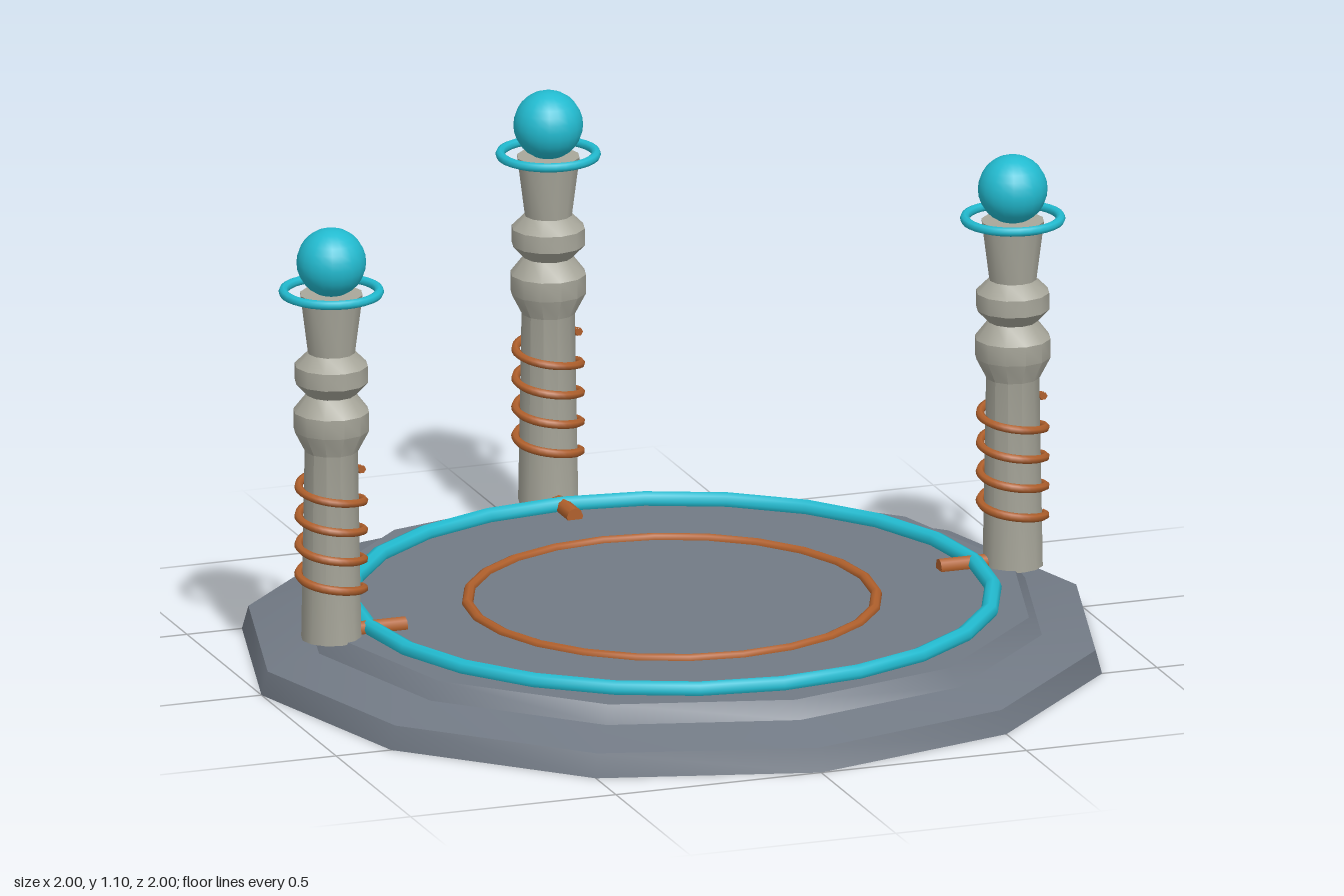
import * as THREE from 'three';
import { toCreasedNormals } from 'three/addons/utils/BufferGeometryUtils.js';

const mat = (name, color) => Object.assign(new THREE.MeshStandardMaterial({ color }), { name });

export function createModel() {
  const slate = mat('slate', 0x727a85);
  const stone = mat('stone', 0xa8a79b);
  const copper = mat('copper', 0xb0602c);
  const teal = mat('teal', 0x22bbd0);

  const model = new THREE.Group();
  model.name = 'pylonPlatform';

  const add = (parent, name, geometry, material, x = 0, y = 0, z = 0) => {
    const mesh = new THREE.Mesh(geometry, material);
    mesh.name = name;
    mesh.position.set(x, y, z);
    parent.add(mesh);
    return mesh;
  };
  // Turned solid with crisp profile edges and a smooth circumference
  const turned = (points, sides, crease) => toCreasedNormals(
    new THREE.LatheGeometry(points.map(([r, y]) => new THREE.Vector2(r, y)), sides), crease);
  const flatRing = (radius, tube, sides, segments) =>
    new THREE.TorusGeometry(radius, tube, sides, segments).rotateX(Math.PI / 2);

  // Twelve-sided stepped base
  add(model, 'base', turned(
    [[0, 0], [1, 0], [0.985, 0.055], [0.86, 0.085], [0.83, 0.125], [0, 0.125]], 12, 0.6), slate);

  // Rings laid into the floor
  add(model, 'outerRing', flatRing(0.738, 0.02, 8, 24), teal, 0, 0.135, 0);
  add(model, 'innerRing', flatRing(0.47, 0.013, 8, 24), copper, 0, 0.125, 0);

  // Geometry shared by the pylons
  const columnGeo = turned([
    [0, 0.12], [0.07, 0.12], [0.062, 0.57], [0.088, 0.62], [0.088, 0.665], [0.057, 0.705],
    [0.085, 0.735], [0.085, 0.775], [0.055, 0.805], [0.073, 0.945], [0, 0.945]], 12, 0.6);

  // Four-turn winding that rises from the +x side
  const coilPoints = [];
  for (let i = 0; i <= 64; i++) {
    const a = (i / 64) * Math.PI * 8;
    coilPoints.push(new THREE.Vector3(
      0.075 * Math.cos(a), 0.235 + 0.28 * i / 64, 0.075 * Math.sin(a)));
  }
  const coilGeo = new THREE.TubeGeometry(new THREE.CatmullRomCurve3(coilPoints), 128, 0.01, 6);
  const coilEndGeo = new THREE.CircleGeometry(0.01, 6);
  const orbGeo = new THREE.SphereGeometry(0.08, 20, 14);
  const haloGeo = flatRing(0.11, 0.011, 8, 32);
  const leadGeo = new THREE.CylinderGeometry(0.02, 0.02, 0.15, 8).rotateZ(Math.PI / 2);

  // Three pylons: left, right and back
  [['left', 1, 0], ['right', -1, 0], ['back', 0, -1]].forEach(([side, dx, dz]) => {
    const pylon = new THREE.Group();
    pylon.name = side + 'Pylon';
    pylon.position.set(dx * 0.83, 0, dz * 0.83);
    model.add(pylon);
    add(pylon, 'column', columnGeo, stone);
    add(pylon, 'coil', coilGeo, copper);
    add(pylon, 'coilLowerEnd', coilEndGeo, copper, 0.075, 0.235, 0).rotation.y = Math.PI;
    add(pylon, 'coilUpperEnd', coilEndGeo, copper, 0.075, 0.515, 0);
    add(pylon, 'halo', haloGeo, teal, 0, 0.95, 0);
    add(pylon, 'orb', orbGeo, teal, 0, 1.02, 0);
    // Copper lead running under the outer ring toward the centre
    const lead = add(pylon, 'lead', leadGeo, copper, -dx * 0.105, 0.132, -dz * 0.105);
    lead.rotation.y = Math.atan2(-dz, dx);
  });

  return model;
}
